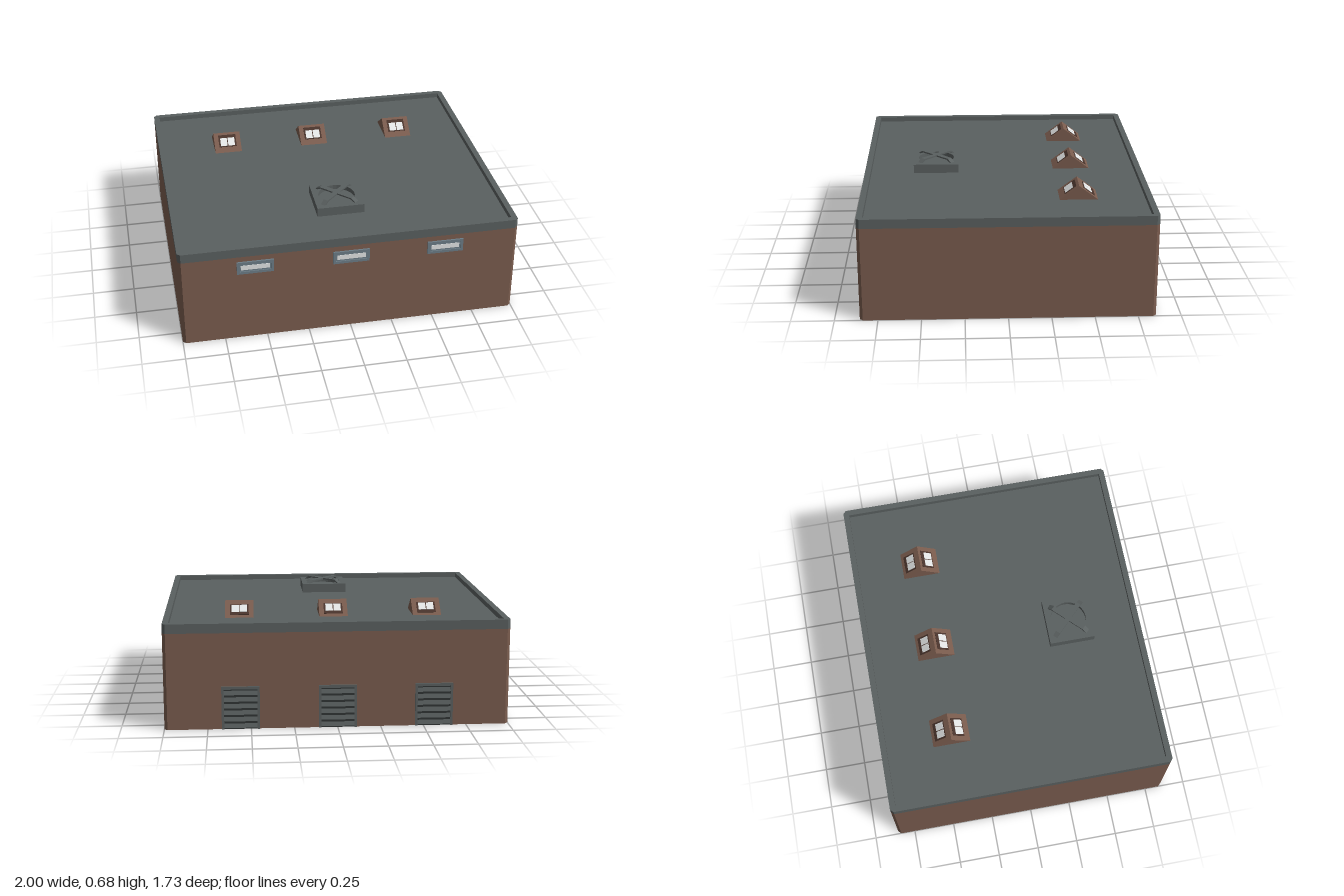
import * as THREE from 'three';

const mat = (name, color, side = THREE.FrontSide) => {
  const m = new THREE.MeshStandardMaterial({ color, side });
  m.name = name;
  return m;
};

export function createModel() {
  const root = new THREE.Group();
  root.name = 'flatRoofBuilding';
  const brick = mat('brown brick', 0x7a5c4e);
  const slate = mat('slate grey', 0x5a6060);
  const dark = mat('dark recess', 0x2f3434);
  const darkBrown = mat('dark brown', 0x49342c);
  const frameMat = mat('blue grey frame', 0x6c7d87);
  const glass = mat('pale glass', 0xe4e6e6);

  const add = (parent, name, geo, material, x = 0, y = 0, z = 0) => {
    const m = new THREE.Mesh(geo, material);
    m.name = name;
    m.position.set(x, y, z);
    parent.add(m);
    return m;
  };
  const box = (parent, name, material, w, h, d, x, y, z) =>
    add(parent, name, new THREE.BoxGeometry(w, h, d), material, x, y, z);
  const group = (name, x, y, z) => {
    const g = new THREE.Group();
    g.name = name;
    g.position.set(x, y, z);
    root.add(g);
    return g;
  };
  // extrude a plan outline upwards
  const rise = (shape, h) => new THREE.ExtrudeGeometry(shape, { depth: h, bevelEnabled: false, curveSegments: 16 }).rotateX(-Math.PI / 2);
  const points = (list) => list.map(([x, y]) => new THREE.Vector2(x, y));
  const rect = (w, d) => points([[-w, -d], [-w, d], [w, d], [w, -d]]);

  // Shell: rectangular ring with chamfered corners
  const W = 1, D = 0.855, C = 0.018;
  const ring = (t) => {
    const s = new THREE.Shape(points([
      [-W + C, -D], [W - C, -D], [W, -D + C], [W, D - C],
      [W - C, D], [-W + C, D], [-W, D - C], [-W, -D + C]]));
    s.holes.push(new THREE.Path(rect(W - t, D - t)));
    return s;
  };
  add(root, 'outerWalls', rise(ring(0.025), 0.565), brick);
  add(root, 'parapet', rise(ring(0.035), 0.055), slate, 0, 0.565, 0);
  box(root, 'roofDeck', slate, 1.94, 0.02, 1.65, 0, 0.58, 0);
  box(root, 'ceiling', brick, 1.96, 0.01, 1.67, 0, 0.565, 0);
  for (const x of [-0.28, 0.28]) box(root, 'partitionWall', brick, 0.02, 0.56, 1.67, x, 0.28, 0);

  // Triangular skylight prism
  const prism = new THREE.ExtrudeGeometry(
    new THREE.Shape(points([[-0.113, 0], [0.113, 0], [0, 0.085]])),
    { depth: 0.17, bevelEnabled: false }).translate(0, 0, -0.085).rotateY(Math.PI / 2);
  const slope = Math.atan2(0.085, 0.113);

  for (const x of [-0.56, 0, 0.56]) {
    // Front strip window
    const win = group('stripWindow', x, 0.493, D);
    for (const s of [-1, 1]) {
      box(win, 'frameRail', frameMat, 0.214, 0.016, 0.02, 0, s * 0.032, 0);
      box(win, 'frameStile', frameMat, 0.016, 0.048, 0.02, s * 0.099, 0, 0);
    }
    box(win, 'innerFrame', frameMat, 0.182, 0.048, 0.008, 0, 0, 0);
    box(win, 'pane', glass, 0.168, 0.03, 0.004, 0, 0, 0.004);

    // Back shutter door with tilted slats
    const door = group('shutterDoor', x, 0, -D);
    box(door, 'doorBacking', dark, 0.2, 0.24, 0.006, 0, 0.12, 0);
    for (const s of [-1, 1]) box(door, 'doorPost', slate, 0.014, 0.252, 0.022, s * 0.103, 0.126, 0);
    box(door, 'doorHead', slate, 0.192, 0.016, 0.022, 0, 0.244, 0);
    for (let i = 0; i < 6; i++) {
      const slat = box(door, 'slat', slate, 0.194, 0.026, 0.004, 0, 0.02 + i * 0.039, -0.005);
      slat.rotation.x = 0.25;
    }

    // Gabled rooflight with a window on each slope
    const light = group('rooflight', x, 0.59, -0.427);
    add(light, 'gable', prism, brick);
    for (const s of [1, -1]) {
      const face = new THREE.Group();
      face.name = s > 0 ? 'frontSlope' : 'backSlope';
      face.position.set(0, 0.0425, s * 0.0565);
      face.rotation.order = 'YXZ';
      face.rotation.set(slope, s > 0 ? 0 : Math.PI, 0);
      light.add(face);
      // the dark reveal lies on the -z side of each pane pair
      const off = s > 0 ? -0.011 : 0.007;
      box(face, 'reveal', darkBrown, 0.112, 0.004, 0.084, 0, 0, off);
      for (const k of [-1, 1])
        box(face, 'rooflightPane', glass, 0.043, 0.004, 0.056, k * 0.024, 0.002, off + s * 0.008);
    }
  }

  // Roof fan: square housing with a round well and a raised cross guard
  const fan = group('roofFan', 0, 0.59, 0.417);
  const housing = new THREE.Shape(rect(0.142, 0.139));
  const well = new THREE.Path();
  well.absarc(0, 0, 0.11, 0, Math.PI * 2);
  housing.holes.push(well);
  add(fan, 'fanHousing', rise(housing, 0.055), slate);
  add(fan, 'fanWellFloor', new THREE.CylinderGeometry(0.112, 0.112, 0.01, 32), slate, 0, 0.022, 0);
  const bar = new THREE.ExtrudeGeometry(new THREE.Shape(points([
    [-0.148, 0.053], [-0.132, 0.053], [-0.108, 0.066], [0.108, 0.066],
    [0.132, 0.053], [0.148, 0.053], [0.115, 0.075], [-0.115, 0.075]])),
  { depth: 0.03, bevelEnabled: false }).translate(0, 0, -0.015);
  for (const s of [-1, 1]) add(fan, 'crossBar', bar, slate).rotation.y = s * Math.PI / 4;

  return root;
}
